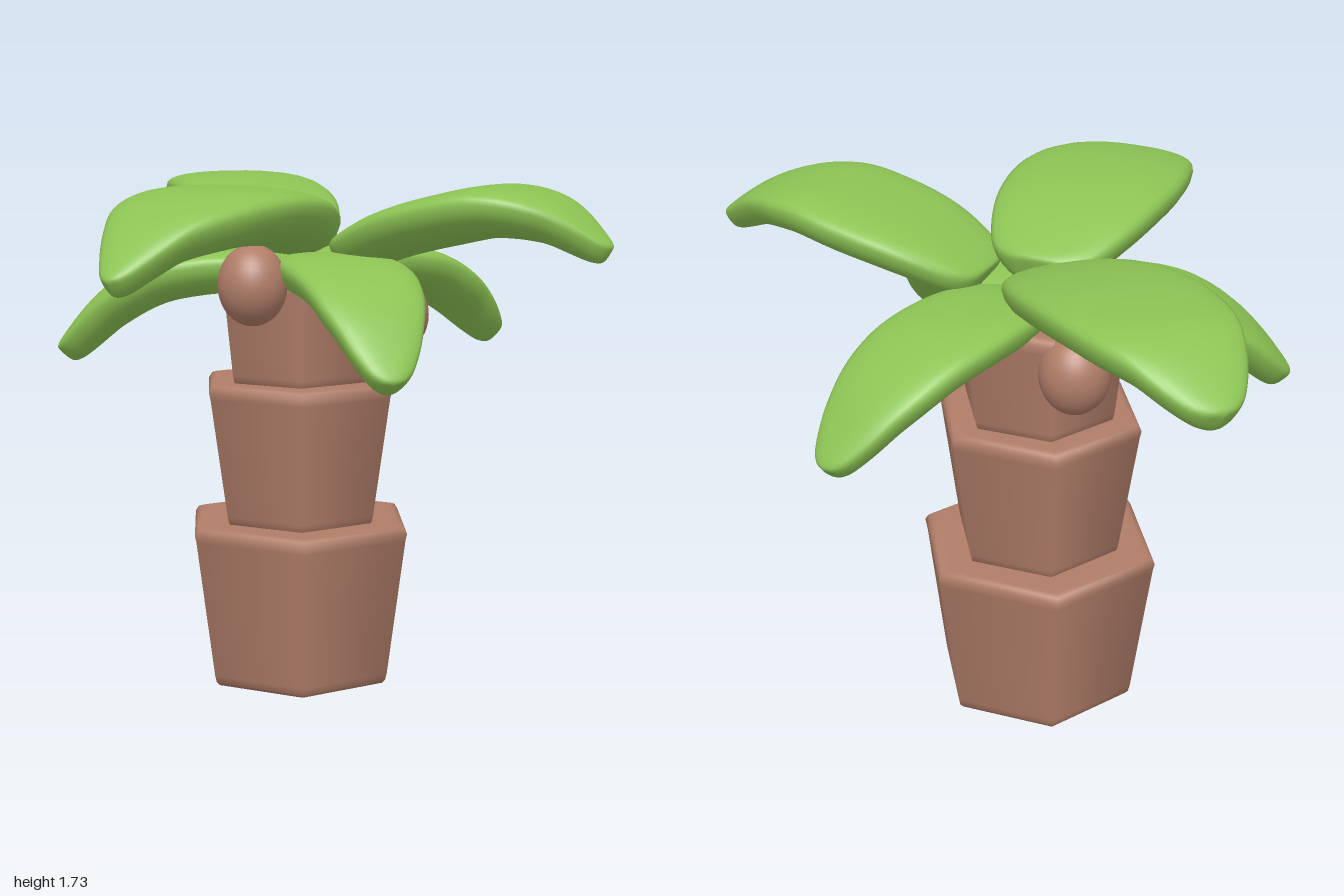
import * as THREE from 'three';

const bark = new THREE.MeshStandardMaterial({ color: 0xb07d68 });
bark.name = 'bark brown';
const green = new THREE.MeshStandardMaterial({ color: 0x8cc354 });
green.name = 'leaf green';

const CX = -0.17, CZ = -0.135; // trunk axis

// Hexagonal, upward-flaring trunk block with softly rounded rims
function trunkBlock(y0, y1, r0, r1) {
  const b = 0.012;
  const profile = [
    [0, y0], [r0 - 3 * b, y0], [r0 - b, y0], [r0, y0 + b], [r0 + b / 2, y0 + 3 * b],
    [r1 - b / 2, y1 - 4 * b], [r1, y1 - 2 * b], [r1 - b, y1 - b / 2], [r1 - 2.5 * b, y1],
    [r1 - 4 * b, y1], [0, y1],
  ].map(([r, y]) => new THREE.Vector2(r, y));
  const mesh = new THREE.Mesh(new THREE.LatheGeometry(profile, 6, THREE.MathUtils.degToRad(-33)), bark);
  mesh.position.set(CX, 0, CZ);
  return mesh;
}

// Leaf outlines: (position along the leaf, relative half width)
const makeOutline = (end) => new THREE.SplineCurve([
  [0, 0], [0.012, 0.42], [0.08, 0.7], [0.25, 0.93], [0.47, 1], ...end, [1, 0],
].map(([t, w]) => new THREE.Vector2(t, w)));
const pointed = makeOutline([[0.67, 0.85], [0.85, 0.52], [0.95, 0.27], [0.988, 0.13]]);
const blunt = makeOutline([[0.7, 0.9], [0.86, 0.66], [0.95, 0.42], [0.988, 0.22]]);

// Thick leaf: flat-topped, round-edged, keeled section swept along an arched spine
function leaf({ base, tip, heights, halfWidth, depth, outline, bow = 0 }) {
  const dir = new THREE.Vector2(tip[0] - base[0], tip[1] - base[1]);
  const side = new THREE.Vector3(-dir.y, 0, dir.x).normalize();
  const spine = new THREE.CatmullRomCurve3(heights.map((y, i) => {
    const t = i / (heights.length - 1);
    return new THREE.Vector3(base[0] + dir.x * t, y, base[1] + dir.y * t)
      .addScaledVector(side, bow * Math.sin(Math.PI * t));
  }));
  const rows = 60, cols = 28, pos = [], idx = [];
  for (let i = 0; i <= rows; i++) {
    const o = outline.getPoint(i / rows);
    const t = THREE.MathUtils.clamp(o.x, 0, 1), w = Math.max(o.y, 0);
    const p = spine.getPoint(t);
    const up = new THREE.Vector3().crossVectors(side, spine.getTangent(t)).normalize();
    const d = depth * Math.pow(w, 0.42);
    for (let j = 0; j < cols; j++) {
      const a = (j / cols) * Math.PI * 2, c = Math.cos(a), s = Math.sin(a);
      const x = Math.sign(c) * Math.pow(Math.abs(c), 0.85) * halfWidth * w;
      const y = (s > 0 ? 0.3 * Math.pow(s, 0.7) : 0.7 * s) * d - 0.3 * depth;
      const v = p.clone().addScaledVector(side, x).addScaledVector(up, y);
      pos.push(v.x, v.y, v.z);
      if (i < rows) {
        const k = i * cols + j, n = i * cols + (j + 1) % cols;
        idx.push(k, k + cols, n, n, k + cols, n + cols);
      }
    }
  }
  const geo = new THREE.BufferGeometry();
  geo.setAttribute('position', new THREE.Float32BufferAttribute(pos, 3));
  geo.setIndex(idx);
  geo.computeVertexNormals();
  return new THREE.Mesh(geo, green);
}

export function createModel() {
  const palm = new THREE.Group();
  palm.name = 'palmTree';
  const add = (mesh, name) => { mesh.name = name; palm.add(mesh); };

  // Trunk of three stacked blocks
  add(trunkBlock(0, 0.56, 0.335, 0.415), 'trunkBottom');
  add(trunkBlock(0.55, 1.045, 0.28, 0.355), 'trunkMiddle');
  add(trunkBlock(1.035, 1.41, 0.255, 0.3), 'trunkTop');

  // Coconuts
  const coconutGeo = new THREE.SphereGeometry(1, 32, 20);
  [[-0.185, 1.395, 0.19], [0.155, 1.27, -0.21], [-0.355, 1.295, -0.35]].forEach((p, i) => {
    const nut = new THREE.Mesh(coconutGeo, bark);
    nut.scale.set(0.115, 0.135, 0.115);
    nut.position.set(...p);
    add(nut, `coconut${i + 1}`);
  });

  // Upper ring of large leaves
  add(leaf({
    base: [-0.17, -0.2], tip: [-0.3, 0.97], heights: [1.61, 1.69, 1.725, 1.72, 1.665, 1.51],
    halfWidth: 0.285, depth: 0.195, outline: pointed, bow: -0.01,
  }), 'upperLeafFront');
  add(leaf({
    base: [-0.02, -0.13], tip: [0.995, -0.01], heights: [1.54, 1.635, 1.695, 1.73, 1.695, 1.575],
    halfWidth: 0.255, depth: 0.175, outline: pointed, bow: -0.01,
  }), 'upperLeafLeft');
  add(leaf({
    base: [-0.17, -0.13], tip: [-0.98, -0.965], heights: [1.56, 1.64, 1.69, 1.71, 1.69, 1.57],
    halfWidth: 0.265, depth: 0.185, outline: blunt, bow: 0.015,
  }), 'upperLeafBackRight');

  // Lower ring of drooping leaves
  const lower = {
    depth: 0.16, halfWidth: 0.205, outline: blunt,
    heights: [1.47, 1.495, 1.49, 1.45, 1.345, 1.165],
  };
  add(leaf({ ...lower, base: [-0.15, -0.12], tip: [0.27, -0.95], bow: -0.02 }), 'lowerLeafBackLeft');
  add(leaf({ ...lower, base: [-0.17, -0.13], tip: [-0.95, 0.2] }), 'lowerLeafRight');
  add(leaf({ ...lower, base: [-0.17, -0.13], tip: [0.45, 0.48], bow: -0.035 }), 'lowerLeafFrontLeft');

  return palm;
}
